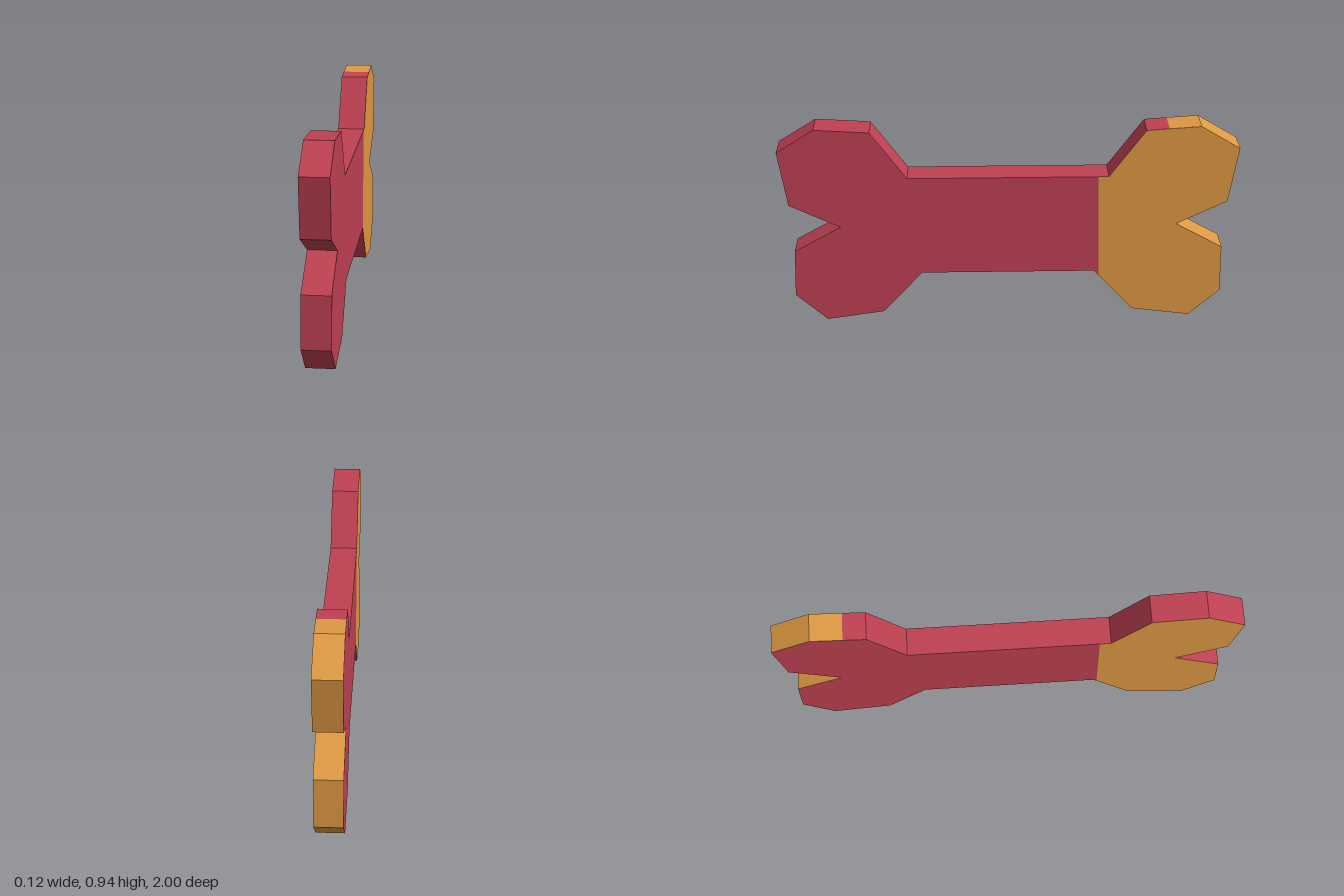
import * as THREE from 'three';

const H = 0.061; // half thickness

// Bone outline as [z, y], counter-clockwise seen from +x
const front = [
  [0.441, 0.706], [0.597, 0.925], [0.835, 0.94], [1, 0.835], [0.963, 0.58], [0.741, 0.471],
  [0.95, 0.352], [0.96, 0.129], [0.822, 0], [0.565, 0.038], [0.388, 0.237],
];
const back = [
  [-0.383, 0.237], [-0.559, 0.038], [-0.819, 0.003], [-0.956, 0.129], [-0.95, 0.352], [-0.741, 0.471],
  [-0.961, 0.58], [-1, 0.835], [-0.827, 0.94], [-0.592, 0.924], [-0.436, 0.706],
];

// Flat side panel facing +x (side = 1) or -x (side = -1)
function panel(name, points, side, material) {
  const shape = new THREE.Shape(points.map(([z, y]) => new THREE.Vector2(-side * z, y)));
  const geometry = new THREE.ShapeGeometry(shape);
  geometry.rotateY(side * Math.PI / 2).translate(side * H, 0, 0);
  const mesh = new THREE.Mesh(geometry, material);
  mesh.name = name;
  return mesh;
}

// Strip of flat rim quads following the outline
function rim(name, points, material) {
  const positions = [];
  for (let i = 0; i < points.length - 1; i++) {
    const [az, ay] = points[i];
    const [bz, by] = points[i + 1];
    positions.push(H, ay, az, -H, ay, az, -H, by, bz);
    positions.push(H, ay, az, -H, by, bz, H, by, bz);
  }
  const geometry = new THREE.BufferGeometry();
  geometry.setAttribute('position', new THREE.Float32BufferAttribute(positions, 3));
  geometry.computeVertexNormals();
  const mesh = new THREE.Mesh(geometry, material);
  mesh.name = name;
  return mesh;
}

export function createModel() {
  const red = new THREE.MeshStandardMaterial({ color: 0xbf4052 });
  red.name = 'red';
  const orange = new THREE.MeshStandardMaterial({ color: 0xde9943 });
  orange.name = 'orange';

  const group = new THREE.Group();
  group.name = 'bone';

  // Left face: orange at the back end
  const leftTop = [-0.391, 0.706], leftBottom = [-0.404, 0.213];
  group.add(panel('leftFaceRed', [leftTop, ...front, back[0], leftBottom], 1, red));
  group.add(panel('leftFaceOrange', [leftBottom, ...back.slice(1), leftTop], 1, orange));

  // Right face: orange at the front end
  const rightTop = [0.391, 0.706], rightBottom = [0.404, 0.219];
  group.add(panel('rightFaceRed', [rightBottom, front[10], ...back, rightTop], -1, red));
  group.add(panel('rightFaceOrange', [rightTop, ...front.slice(0, 10), rightBottom], -1, orange));

  // Rim: orange around the back knobs, red elsewhere
  const rimSplit = [-0.69, 0.931];
  group.add(rim('rimRed', [rimSplit, ...back.slice(9), ...front, ...back.slice(0, 3)], red));
  group.add(rim('rimOrange', [...back.slice(2, 9), rimSplit], orange));

  return group;
}
